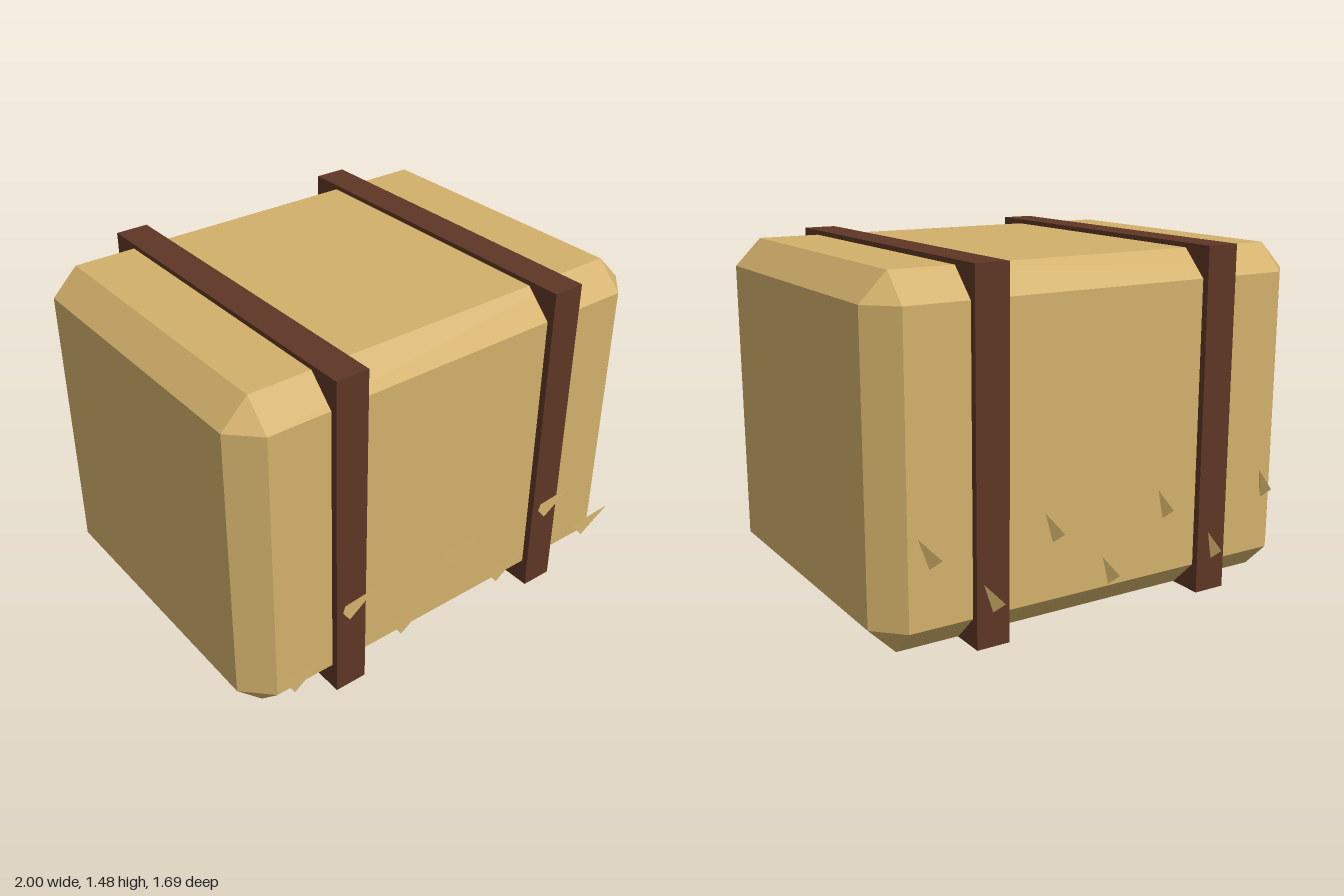
import * as THREE from 'three';
import { ConvexGeometry } from 'three/addons/geometries/ConvexGeometry.js';

// Box with every edge and corner cut off by the same amount
function chamferedBox(w, h, d, cut) {
  const points = [];
  for (const sx of [-1, 1]) for (const sy of [-1, 1]) for (const sz of [-1, 1]) {
    const [x, y, z] = [w / 2, h / 2, d / 2];
    points.push(
      new THREE.Vector3(sx * x, sy * (y - cut), sz * (z - cut)),
      new THREE.Vector3(sx * (x - cut), sy * y, sz * (z - cut)),
      new THREE.Vector3(sx * (x - cut), sy * (y - cut), sz * z)
    );
  }
  return new ConvexGeometry(points);
}

export function createModel() {
  const hay = new THREE.MeshStandardMaterial({ color: 0xd2b06a });
  hay.name = 'hay';
  const strap = new THREE.MeshStandardMaterial({ color: 0x5e3624 });
  strap.name = 'strap brown';

  const model = new THREE.Group();
  model.name = 'hayBale';
  const add = (name, geometry, material, x, y, z) => {
    const mesh = new THREE.Mesh(geometry, material);
    mesh.name = name;
    mesh.position.set(x, y, z);
    model.add(mesh);
    return mesh;
  };

  // Bale
  add('bale', chamferedBox(2, 1.456, 1.5, 0.115), hay, 0, 0.732, 0);

  // Straps, each a solid slab running through the bale
  const strapGeometry = new THREE.BoxGeometry(0.145, 1.48, 1.56);
  add('leftStrap', strapGeometry, strap, 0.54, 0.74, 0);
  add('rightStrap', strapGeometry, strap, -0.54, 0.74, 0);

  // Loose straws: a zigzag row on the front, the opposite zigzag on the back
  const straw = new THREE.ConeGeometry(0.033, 0.18, 3).toNonIndexed();
  straw.computeVertexNormals();
  for (const side of [1, -1]) {
    for (let i = 0; i < 7; i++) {
      const high = (i % 2 === 1) === (side === 1);
      const mesh = add(side > 0 ? 'frontStraw' : 'backStraw', straw, hay,
        0.027 + (i - 3) * 0.271, high ? 0.459 : 0.229, side * 0.81);
      mesh.rotation.set(side * 0.5, 0, -0.6);
    }
  }
  return model;
}
